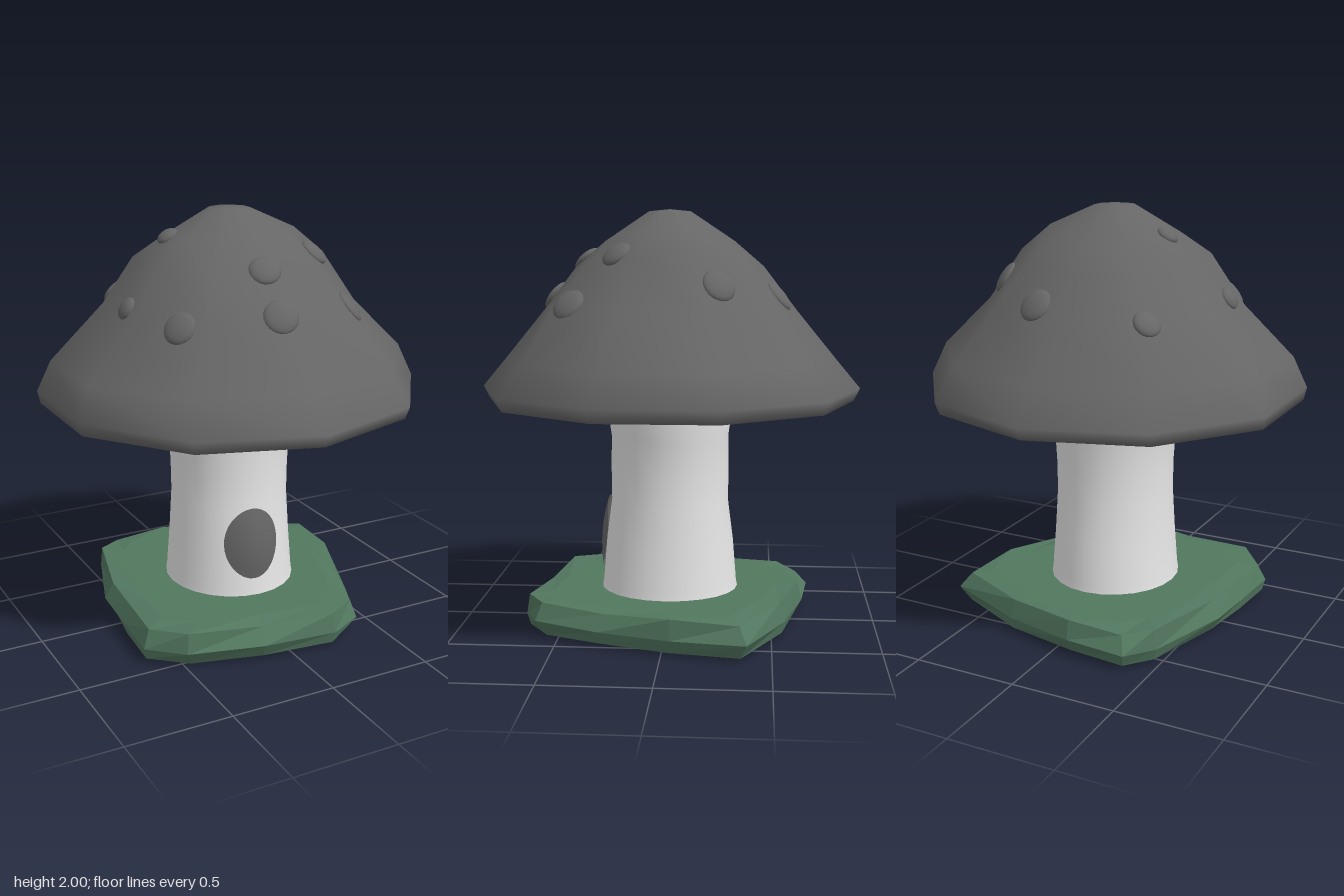
import * as THREE from 'three';
import { mergeVertices } from 'three/addons/utils/BufferGeometryUtils.js';

const mat = (name, color, extra = {}) => {
  const m = new THREE.MeshStandardMaterial({ color, ...extra });
  m.name = name;
  return m;
};

// Move every vertex of a geometry by a rule
function reshape(geo, rule) {
  const p = geo.attributes.position;
  const v = new THREE.Vector3();
  for (let i = 0; i < p.count; i++) {
    rule(v.fromBufferAttribute(p, i));
    p.setXYZ(i, v.x, v.y, v.z);
  }
  geo.computeVertexNormals();
  return geo;
}

// Seamless lathe, so that it shades smoothly after reshaping
function lathe(points, sides) {
  const g = new THREE.LatheGeometry(points.map(([x, y]) => new THREE.Vector2(x, y)), sides);
  g.deleteAttribute('uv');
  g.deleteAttribute('normal');
  return mergeVertices(g, 1e-4);
}

// Closed slab from scaled copies of one outline
function slabGeometry(outline, rings) {
  const n = outline.length, pos = [], idx = [];
  rings.forEach(([scale, y, wobble], r) => outline.forEach(([x, z], i) => {
    const w = wobble * Math.sin(i * 2.4 + r * 1.9);
    const s = scale * (1 + w);
    pos.push(x * s, y + w * 0.35, z * s);
  }));
  for (let r = 0; r < rings.length - 1; r++) {
    for (let i = 0; i < n; i++) {
      const j = (i + 1) % n, a = r * n + i, b = r * n + j;
      if (r > 0) idx.push(a, b, b + n);
      if (r < rings.length - 2) idx.push(a, b + n, a + n);
    }
  }
  const g = new THREE.BufferGeometry();
  g.setAttribute('position', new THREE.Float32BufferAttribute(pos, 3));
  g.setIndex(idx);
  g.computeVertexNormals();
  return g;
}

export function createModel() {
  const group = new THREE.Group();
  const grey = mat('cap grey', 0x666666, { side: THREE.DoubleSide });
  const pale = mat('stem white', 0xe6e6e6);
  const green = mat('grass green', 0x52775f, { flatShading: true });
  const add = (name, geo, material) => {
    const m = new THREE.Mesh(geo, material);
    m.name = name;
    group.add(m);
    return m;
  };

  // Rough, roughly four-cornered patch of ground
  const outline = [
    [-0.66, 0.42], [-0.5, 0.56], [-0.15, 0.65], [0.22, 0.69], [0.37, 0.6], [0.51, 0.3], [0.61, -0.04],
    [0.67, -0.38], [0.28, -0.57], [-0.08, -0.65], [-0.38, -0.68], [-0.49, -0.55], [-0.61, -0.13], [-0.64, 0.14],
  ];
  add('ground', slabGeometry(outline, [
    [0, 0, 0], [0.95, 0.01, 0.02], [1, 0.075, 0.02], [0.95, 0.16, 0.03], [0.8, 0.168, 0], [0, 0.17, 0],
  ]), green);

  // Stem, wider from side to side near the top and fuller at the lower front
  const stem = lathe([
    [0.318, 0.14], [0.308, 0.2], [0.293, 0.4], [0.285, 0.6], [0.287, 0.75],
    [0.3, 0.92], [0.34, 1.09], [0.33, 1.2], [0.27, 1.5],
  ], 24);
  reshape(stem, (v) => {
    if (v.y > 0.85) v.z *= v.y > 1 ? 0.91 : 0.95;
    if (v.y < 0.5) v.z *= 1.06;
  });
  add('stem', stem, pale);

  // Oval door wrapped around the front of the stem
  const door = reshape(new THREE.RingGeometry(0, 1, 32, 5), (v) => {
    const r2 = v.x * v.x + v.y * v.y;
    v.x *= 0.135;
    v.y *= 0.175;
    v.z = Math.sqrt(0.315 ** 2 - (v.x - 0.03) ** 2) - v.y * 0.08 + 0.02 * (1 - r2);
    v.x -= 0.03;
    v.y += 0.43;
  });
  add('door', door, grey);

  // Ten-sided cap as a thin shell: inside up to the apex, rim, then outside
  const capGeo = lathe([
    [0, 1.965], [0.095, 1.955], [0.295, 1.867], [0.425, 1.75], [0.575, 1.5], [0.755, 1.28], [0.86, 1.15],
    [0.85, 1.1], [0.885, 1.09], [0.915, 1.15], [0.79, 1.3], [0.61, 1.52], [0.45, 1.78],
    [0.31, 1.9], [0.1, 1.99], [0, 2],
  ], 10);
  reshape(capGeo, (v) => {
    const near = (...ys) => ys.some((y) => Math.abs(v.y - y) < 0.002);
    const r2 = v.x * v.x + v.z * v.z;
    const frontness = v.z * v.z / r2;
    if (near(1.3, 1.28)) v.x *= 1.08;
    if (near(1.09)) v.x *= 1.02;
    // Shoulders swell on the diagonals, crown slopes more to front, back and right
    if (near(1.52, 1.5)) v.y += 0.05 * (2 * v.x * v.z / r2) ** 2;
    else if (near(1.78, 1.75)) v.y -= 0.05 * frontness;
    else if (near(1.9, 1.867)) v.y -= 0.05 * frontness + (v.x < -0.01 ? 0.03 * (1 - frontness) : 0);
  });
  const cap = add('cap', capGeo, grey);

  // Raised spots set on the cap surface
  const spots = [
    [-0.39, -0.47, 0.065], [0.13, -0.52, 0.08], [0.45, -0.25, 0.08], [-0.29, -0.05, 0.052],
    [-0.55, 0.07, 0.055], [-0.44, 0.39, 0.077], [-0.03, 0.4, 0.073], [-0.03, 0.55, 0.08],
    [0.33, 0.22, 0.072], [0.4, 0.43, 0.08],
  ];
  const spotGeo = new THREE.SphereGeometry(1, 18, 10);
  const ray = new THREE.Raycaster();
  const down = new THREE.Vector3(0, -1, 0), forward = new THREE.Vector3(0, 0, 1);
  for (const [x, z, r] of spots) {
    ray.set(new THREE.Vector3(x, 3, z), down);
    const hit = ray.intersectObject(cap)[0];
    const spot = add('spot', spotGeo, grey);
    spot.position.copy(hit.point);
    spot.quaternion.setFromUnitVectors(forward, hit.face.normal);
    spot.scale.set(r, r, 0.027);
  }
  return group;
}
